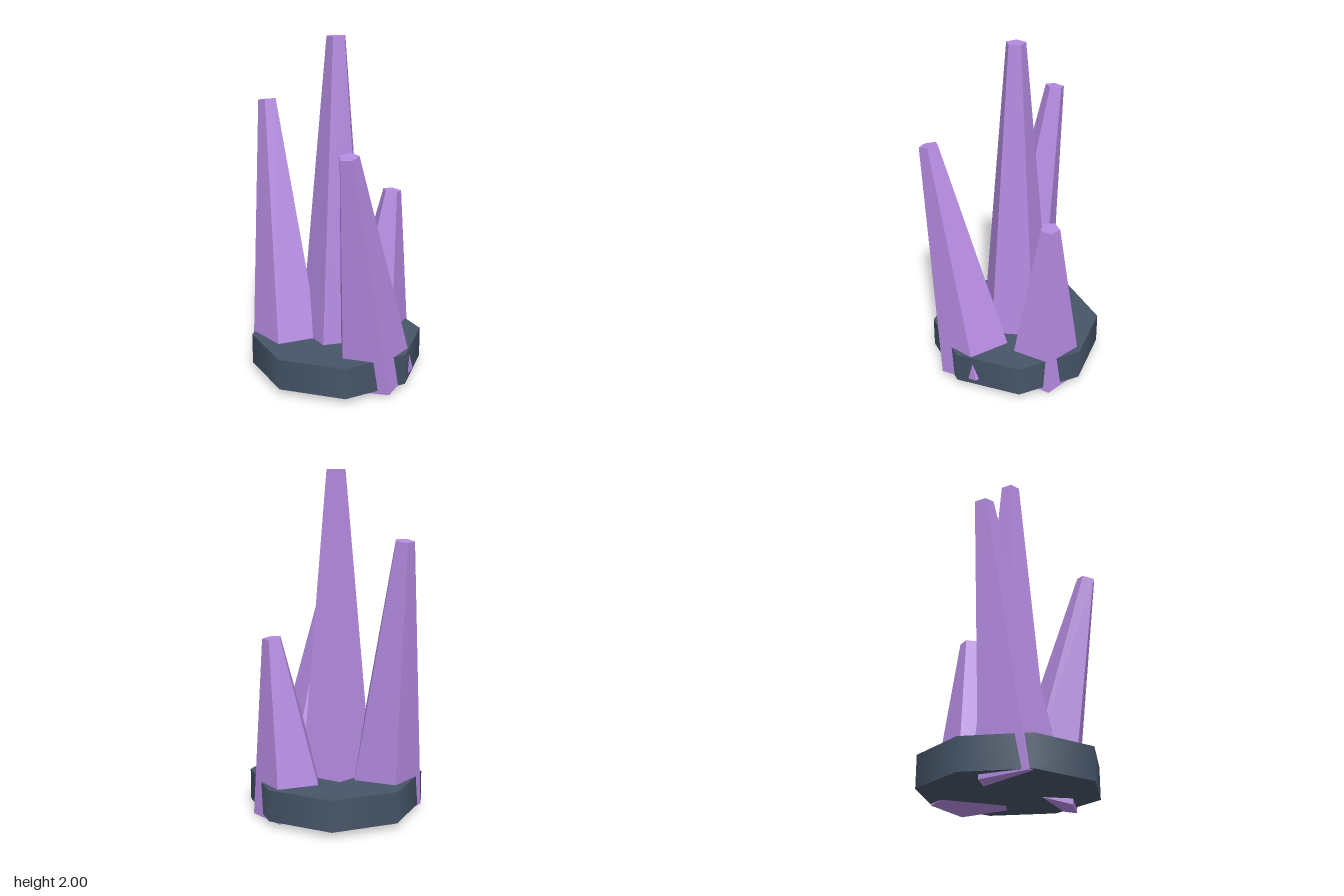
import * as THREE from 'three';

const crystalMaterial = new THREE.MeshStandardMaterial({ color: 0xb48ae0, flatShading: true });
crystalMaterial.name = 'violet crystal';
const stoneMaterial = new THREE.MeshStandardMaterial({ color: 0x465568 });
stoneMaterial.name = 'slate stone';

const UP = new THREE.Vector3(0, 1, 0);

// Tapered five-sided shard from one end centre to the other;
// angle (degrees, from +x towards +z) places its first corner.
function makeCrystal(name, bottom, top, angle) {
  const from = new THREE.Vector3(...bottom);
  const to = new THREE.Vector3(...top);
  const axis = to.clone().sub(from);
  const geometry = new THREE.CylinderGeometry(0.057, 0.233, axis.length(), 5);
  geometry.rotateY(THREE.MathUtils.degToRad(90 - angle));
  const mesh = new THREE.Mesh(geometry, crystalMaterial);
  mesh.name = name;
  mesh.position.copy(from).add(to).multiplyScalar(0.5);
  mesh.quaternion.setFromUnitVectors(UP, axis.normalize());
  return mesh;
}

export function createModel() {
  const group = new THREE.Group();
  group.name = 'crystalCluster';

  // Eight-sided stone base with softly shaded sides
  const base = new THREE.Mesh(new THREE.CylinderGeometry(0.515, 0.515, 0.185, 8), stoneMaterial);
  base.name = 'stoneBase';
  base.position.y = 0.1275;
  group.add(base);

  // Upright main shard and three leaning ones
  group.add(
    makeCrystal('centreCrystal', [0, 0.037, 0], [0, 2, 0], 0),
    makeCrystal('rightCrystal', [-0.217, 0.045, 0.178], [-0.448, 1.615, 0.097], -8),
    makeCrystal('leftCrystal', [0.306, 0.05, 0.025], [0.358, 1.42, 0.335], 31),
    makeCrystal('backCrystal', [0.06, 0.033, -0.285], [0.127, 1.06, -0.374], 23),
  );
  return group;
}
